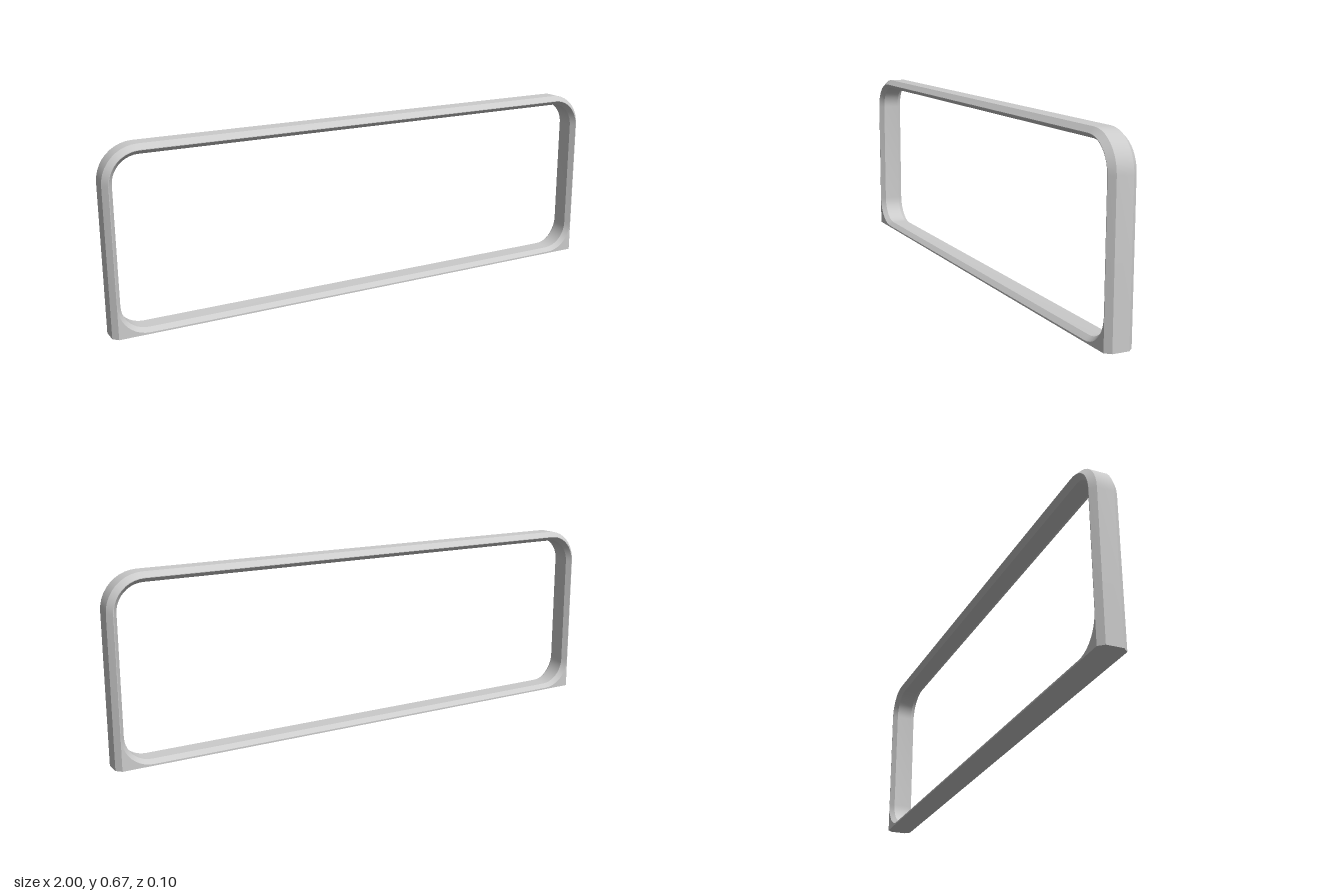
import * as THREE from 'three';
import { toCreasedNormals } from 'three/addons/utils/BufferGeometryUtils.js';

const HALF_W = 1, HEIGHT = 0.67, RADIUS = 0.13, SEG = 10;

// Rounded outline, counter-clockwise from the front; bottom corners have their own radius
function outline(inset, bottom, bottomRadius, z) {
  const x = HALF_W - inset, top = HEIGHT - inset, r = RADIUS - inset, b = bottomRadius;
  const corners = [
    [x - b, bottom + b, b, -0.5],
    [x - r, top - r, r, 0],
    [-x + r, top - r, r, 0.5],
    [-x + b, bottom + b, b, 1],
  ];
  const points = [];
  for (const [cx, cy, rad, start] of corners) {
    for (let i = 0; i <= SEG; i++) {
      const a = (start + 0.5 * i / SEG) * Math.PI;
      points.push(new THREE.Vector3(cx + rad * Math.cos(a), cy + rad * Math.sin(a), z));
    }
  }
  return points;
}

// Skin a closed series of outlines, skipping collapsed triangles at square corners
function skin(rings) {
  const positions = [];
  const addTriangle = (a, b, c) => {
    const area = b.clone().sub(a).cross(c.clone().sub(a)).length();
    if (area > 1e-9) for (const p of [a, b, c]) positions.push(p.x, p.y, p.z);
  };
  rings.forEach((ring, k) => {
    const next = rings[(k + 1) % rings.length];
    ring.forEach((p, i) => {
      const j = (i + 1) % ring.length;
      addTriangle(p, ring[j], next[j]);
      addTriangle(p, next[j], next[i]);
    });
  });
  const geometry = new THREE.BufferGeometry();
  geometry.setAttribute('position', new THREE.Float32BufferAttribute(positions, 3));
  return toCreasedNormals(geometry, 0.5);
}

export function createModel() {
  const group = new THREE.Group();
  group.name = 'openFrame';

  // Bevelled section: outer band, face ridge, inner bevel, inner band and back again
  const rings = [
    outline(0, 0, 0, 0.03),
    outline(0.018, 0, 0, 0.05),
    outline(0.02, 0.006, 0.11, 0.05),
    outline(0.035, 0.02, 0.095, 0.032),
    outline(0.035, 0.02, 0.095, -0.032),
    outline(0.02, 0.006, 0.11, -0.05),
    outline(0.018, 0, 0, -0.05),
    outline(0, 0, 0, -0.03),
  ];
  const frame = new THREE.Mesh(skin(rings), new THREE.MeshStandardMaterial({ color: 0xcccccc }));
  frame.name = 'bevelledFrame';
  group.add(frame);
  return group;
}
